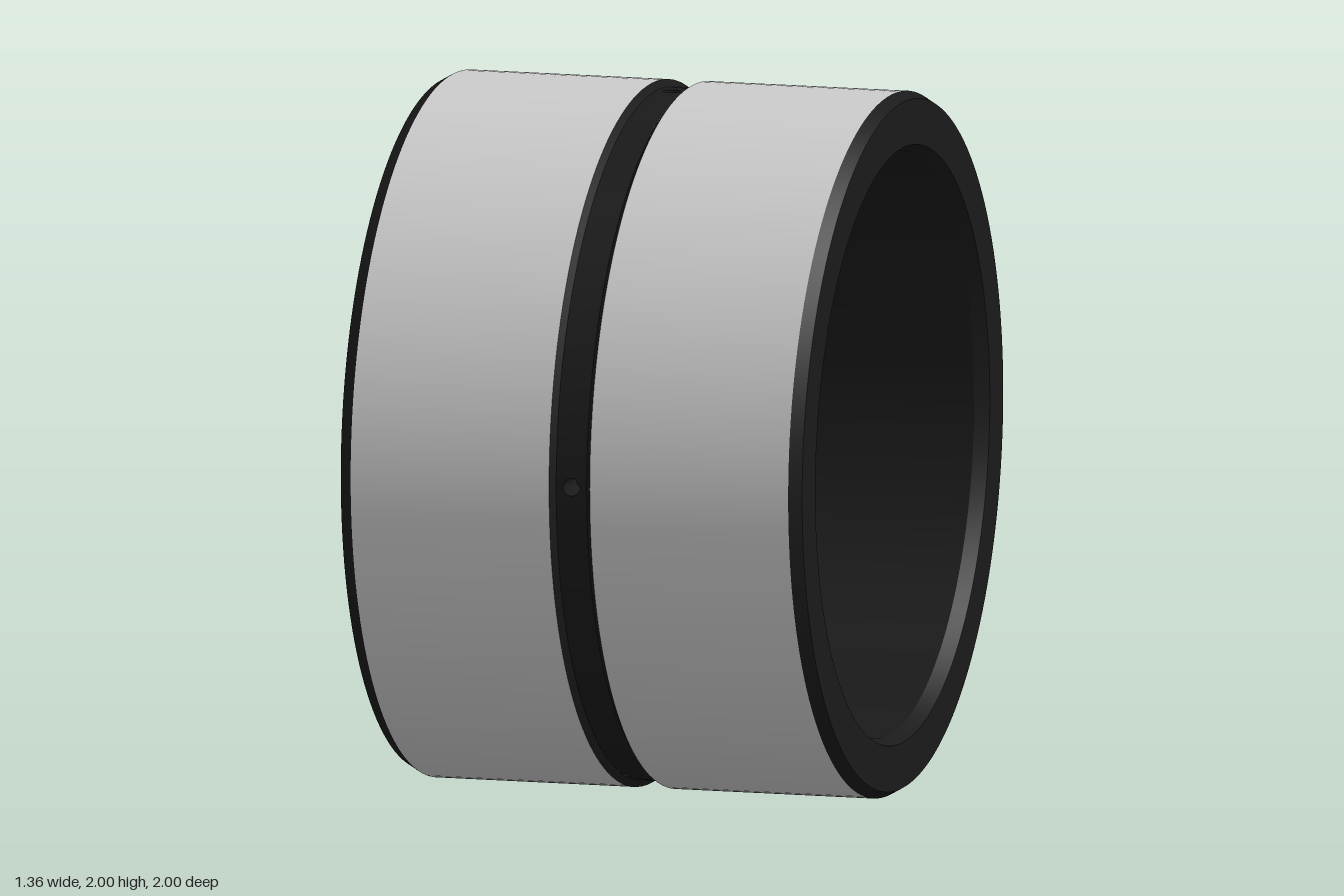
import * as THREE from 'three';
import { toCreasedNormals } from 'three/addons/utils/BufferGeometryUtils.js';

const R_OUT = 1, R_IN = 0.83;                 // sleeve radii
const F_OUT = 0.98, F_IN = 0.85;              // groove floor radii
const HALF = 0.68, CHAMFER = 0.645;           // half length, start of end chamfer
const GROOVE = 0.06, FLOOR = 0.045;           // half widths of groove and its floor
const HOLE = 0.025, HOLE_ANGLE = 0.045;       // oil hole radius, half angle of its patch
const CREASE = 0.3;

const steel = new THREE.MeshStandardMaterial({ color: 0xcccccc });
const dark = new THREE.MeshStandardMaterial({ color: 0x1a1a1a });

function mesh(name, geometry, material) {
  const m = new THREE.Mesh(toCreasedNormals(geometry, CREASE), material);
  m.name = name;
  return m;
}

// Revolved strip; a profile running up faces outward, running down faces inward
function revolve(name, profile, material, segments = 144, start = 0, length = Math.PI * 2) {
  const points = profile.map(([r, y]) => new THREE.Vector2(r, y));
  return mesh(name, new THREE.LatheGeometry(points, segments, start, length), material);
}

// Mirror a profile end to end, keeping its facing
const mirror = (profile) => profile.map(([r, y]) => [r, -y]).reverse();

// Square piece of both groove floors, joined by a round hole through the wall
function holePatch() {
  const n = 32, positions = [], index = [];
  const loops = [[F_OUT, false], [F_OUT, true], [F_IN, true], [F_IN, false]];
  for (const [r, round] of loops) {
    for (let k = 0; k < n; k++) {
      const a = (k / n) * Math.PI * 2, c = Math.cos(a), s = Math.sin(a);
      const m = Math.max(Math.abs(c), Math.abs(s));
      const x = round ? c * HOLE : (c / m) * r * Math.sin(HOLE_ANGLE);
      const y = round ? s * HOLE : (s / m) * FLOOR;
      positions.push(x, y, Math.sqrt(r * r - x * x));
    }
  }
  for (let i = 0; i < loops.length - 1; i++) {
    for (let k = 0; k < n; k++) {
      const a = i * n + k, b = i * n + (k + 1) % n;
      index.push(a, b, b + n, a, b + n, a + n);
    }
  }
  const g = new THREE.BufferGeometry();
  g.setAttribute('position', new THREE.Float32BufferAttribute(positions, 3));
  g.setIndex(index);
  return g;
}

export function createModel() {
  const group = new THREE.Group();
  group.name = 'grooveBushing';
  const body = new THREE.Group();
  body.name = 'bushingBody';
  group.add(body);

  // Ground outer bands
  const band = [[R_OUT, -CHAMFER], [R_OUT, -GROOVE]];
  // Bore, end face and chamfers, from the inner groove round to the outer edge
  const end = [[F_IN, -FLOOR], [R_IN, -GROOVE], [R_IN, -0.64], [0.85, -HALF], [F_OUT, -HALF], [R_OUT, -CHAMFER]];
  // Sloped side of the outer groove
  const side = [[R_OUT, -GROOVE], [F_OUT, -FLOOR]];

  for (const [label, flip] of [['right', (p) => p], ['left', mirror]]) {
    body.add(
      revolve(label + 'OuterBand', flip(band), steel),
      revolve(label + 'EndAndBore', flip(end), dark),
      revolve(label + 'GrooveSide', flip(side), dark),
    );
  }

  // Groove floors in quarters, with an oil hole between each
  const patch = holePatch();
  for (let q = 0; q < 4; q++) {
    const angle = q * Math.PI / 2;
    const start = angle + HOLE_ANGLE, length = Math.PI / 2 - 2 * HOLE_ANGLE;
    body.add(
      revolve('outerGrooveFloor', [[F_OUT, -FLOOR], [F_OUT, FLOOR]], dark, 36, start, length),
      revolve('innerGrooveFloor', [[F_IN, FLOOR], [F_IN, -FLOOR]], dark, 36, start, length),
    );
    const hole = mesh('oilHole', patch, dark);
    hole.rotation.y = angle;
    body.add(hole);
  }

  // Lay the axis along x and stand the ring on the ground
  body.rotation.z = -Math.PI / 2;
  body.position.y = R_OUT;
  return group;
}
